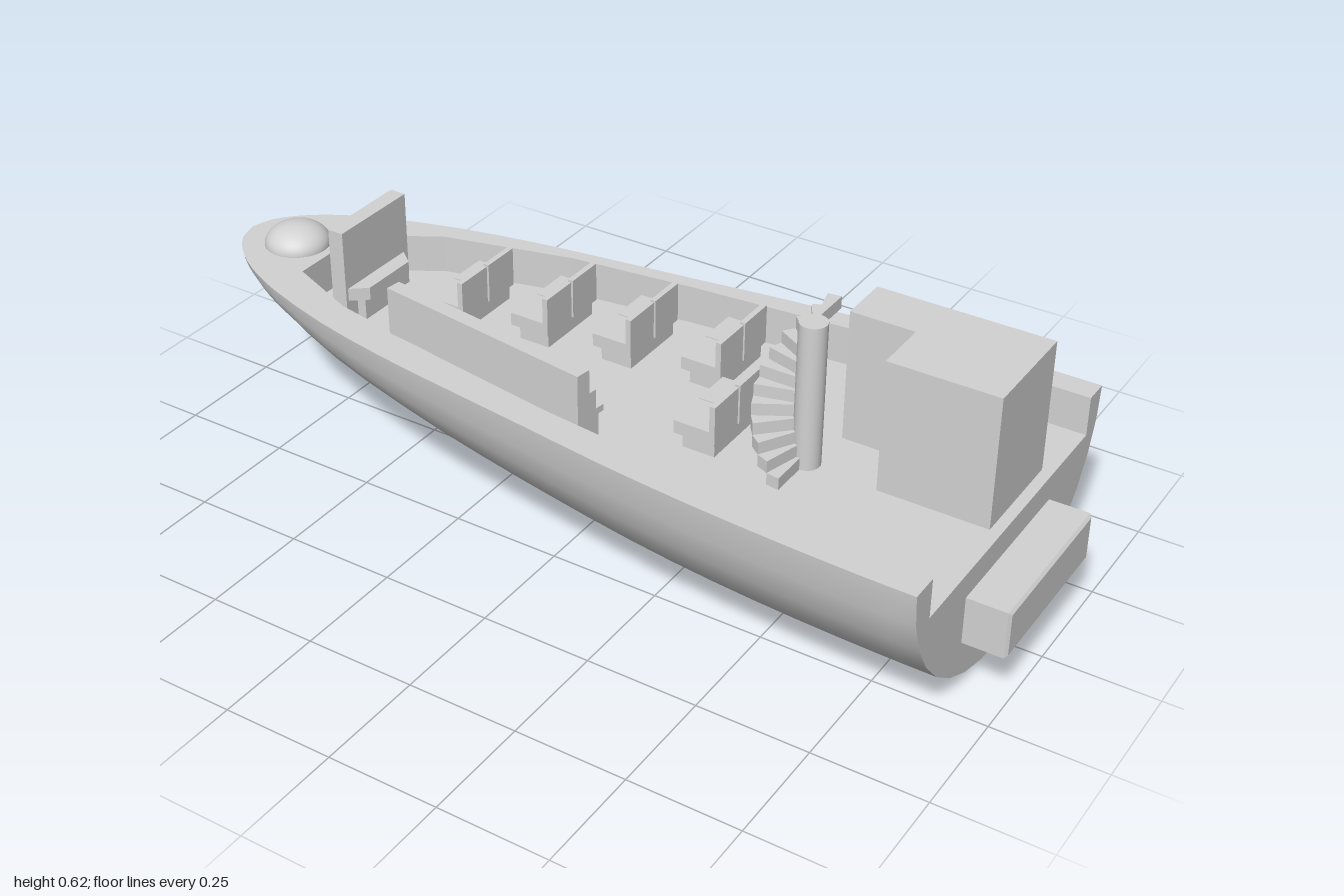
import * as THREE from 'three';

const RIM = 0.38, FLOOR = 0.29, SEG = 16, STERN = 0.905;

// Hull stations along a smooth curve: x, half-width at the rim, keel height
const STATIONS = new THREE.CatmullRomCurve3([
  [-1, 0, 0.38], [-0.985, 0.05, 0.37], [-0.95, 0.093, 0.348], [-0.9, 0.133, 0.317], [-0.84, 0.167, 0.282],
  [-0.77, 0.197, 0.248], [-0.6, 0.25, 0.182], [-0.4, 0.291, 0.125], [-0.2, 0.32, 0.082], [0, 0.347, 0.05],
  [0.2, 0.375, 0.027], [0.4, 0.396, 0.012], [0.6, 0.41, 0.004], [0.78, 0.418, 0.001], [STERN, 0.42, 0],
].map((p) => new THREE.Vector3(...p))).getPoints(28).map((p) => p.toArray());

// Inner edge of the rim (x, z), from stern on one side round the bow to stern on the other
const INNER = [
  [STERN, 0.355], [0.78, 0.355], [0.4, 0.32], [0, 0.275], [-0.3, 0.228], [-0.6, 0.17], [-0.77, 0.1],
  [-0.77, -0.1], [-0.6, -0.2], [-0.3, -0.275], [0, -0.31], [0.4, -0.343], [0.78, -0.363], [STERN, -0.363],
];

const shapeOf = (pts) => new THREE.Shape(pts.map(([a, b]) => new THREE.Vector2(a, b)));

// Surface between equal-length rows of points
function loft(rows) {
  const n = rows[0].length, index = [];
  for (let i = 0; i < rows.length - 1; i++) {
    for (let j = 0; j < n - 1; j++) {
      const a = i * n + j, b = a + n;
      index.push(a, a + 1, b, b, a + 1, b + 1);
    }
  }
  const g = new THREE.BufferGeometry();
  g.setAttribute('position', new THREE.Float32BufferAttribute(rows.flat(2), 3));
  g.setIndex(index);
  g.computeVertexNormals();
  return g;
}

// Horizontal plate from (x, z) points
const plate = (pts, y) =>
  new THREE.ShapeGeometry(shapeOf(pts.map(([x, z]) => [x, -z]))).rotateX(-Math.PI / 2).translate(0, y, 0);

// Solid from an (x, z) outline between two heights
const prism = (pts, y0, y1) =>
  new THREE.ExtrudeGeometry(shapeOf(pts.map(([x, z]) => [x, -z])), { depth: y1 - y0, bevelEnabled: false })
    .rotateX(-Math.PI / 2).translate(0, y0, 0);

const box = (x0, x1, y0, y1, z0, z1) =>
  new THREE.BoxGeometry(x1 - x0, y1 - y0, z1 - z0).translate((x0 + x1) / 2, (y0 + y1) / 2, (z0 + z1) / 2);

export function createModel() {
  const model = new THREE.Group();
  model.name = 'boat';
  const grey = new THREE.MeshStandardMaterial({ color: 0xd2d2d2, side: THREE.DoubleSide });
  grey.name = 'lightGrey';

  const add = (name, geo, parent = model) => {
    const mesh = new THREE.Mesh(geo, grey);
    mesh.name = name;
    parent.add(mesh);
    return mesh;
  };
  const group = (name) => {
    const g = new THREE.Group();
    g.name = name;
    model.add(g);
    return g;
  };

  // Smooth hull skin from half-elliptical sections
  const section = ([x, w, keel]) => Array.from({ length: SEG + 1 }, (_, j) => {
    const t = (j / SEG) * Math.PI;
    return [x, RIM - (RIM - keel) * Math.sin(t), w * Math.cos(t)];
  });
  add('hull', loft(STATIONS.map(section)));

  // Rim, cockpit wall (one hard-edged panel per span) and floor
  const starboard = STATIONS.map(([x, w]) => [x, -w]);
  const port = STATIONS.slice(1).map(([x, w]) => [x, w]).reverse();
  add('rim', plate([...port, ...starboard, ...[...INNER].reverse()], RIM));
  const cockpitWall = group('cockpitWall');
  for (let i = 0; i < INNER.length - 1; i++) {
    const span = INNER.slice(i, i + 2);
    add('wallPanel', loft([FLOOR, RIM].map((y) => span.map(([x, z]) => [x, y, z]))), cockpitWall);
  }
  add('cockpitFloor', plate(INNER, FLOOR));

  // Transom, cut down to the floor between the side walls (drawn as -z, y)
  const stern = section(STATIONS[STATIONS.length - 1]).map(([, y, z]) => [-z, y]);
  add('transom', new THREE.ShapeGeometry(shapeOf([
    ...stern, [0.363, RIM], [0.363, FLOOR], [-0.355, FLOOR], [-0.355, RIM],
  ])).rotateY(Math.PI / 2).translate(STERN, 0, 0));

  // Stern box with bevelled edges
  add('sternBox', new THREE.ExtrudeGeometry(shapeOf([
    [-0.186, 0.129], [0.186, 0.129], [0.186, 0.225], [-0.186, 0.225],
  ]), { depth: 0.1, bevelSize: 0.006, bevelThickness: 0.006, bevelSegments: 1 })
    .rotateY(Math.PI / 2).translate(0.893, 0, 0));

  // Bow dome
  add('bowDome', new THREE.SphereGeometry(0.075, 32, 12, 0, Math.PI * 2, 0, Math.PI / 2)
    .scale(1, 0.65, 1).translate(-0.865, RIM, 0));

  // Bow seat facing the stern
  const bowSeat = group('bowSeat');
  add('bowSeatBack', box(-0.68, -0.642, FLOOR, 0.515, -0.115, 0.107), bowSeat);
  add('bowSeatCushion', prism([[-0.642, -0.1], [-0.605, -0.07], [-0.605, 0.07], [-0.642, 0.1]], 0.345, 0.375), bowSeat);
  add('bowSeatBase', box(-0.642, -0.62, FLOOR, 0.345, -0.07, 0.07), bowSeat);

  // Long side bench: stepped profile (depth, height) swept along the wall
  const benchProfile = [
    [0, FLOOR], [0.05, FLOOR], [0.05, 0.315], [0.062, 0.315], [0.062, 0.375], [0.077, 0.375],
    [0.077, 0.39], [0.055, 0.39], [0.055, 0.435], [0.035, 0.435], [0.035, 0.49], [0, 0.49],
  ];
  const bench = add('sideBench', new THREE.ExtrudeGeometry(shapeOf(benchProfile), { depth: 0.535, bevelEnabled: false })
    .rotateY(Math.PI / 2));
  bench.rotation.y = -0.141;
  bench.position.set(-0.445, 0, 0.205);

  // Double passenger seats facing the bow: front x, rear z
  for (const [x, z] of [[-0.497, -0.19], [-0.303, -0.233], [-0.106, -0.257], [0.102, -0.28], [0.217, -0.063]]) {
    const seat = group('doubleSeat');
    seat.position.set(x, 0, z);
    add('seatBase', box(0.015, 0.09, FLOOR, 0.325, 0.012, 0.183), seat);
    for (const z0 of [0, 0.099]) {
      add('seatCushion', box(0, 0.088, 0.325, 0.355, z0, z0 + 0.096), seat);
      add('seatBack', box(0.084, 0.097, 0.325, 0.417, z0 + 0.005, z0 + 0.097), seat);
    }
  }

  // Spiral stair: pole and wedge treads climbing round the bow side
  const stair = group('spiralStair');
  stair.position.set(0.472, 0, 0.035);
  add('stairPole', new THREE.CylinderGeometry(0.03, 0.03, 0.33, 24).translate(0, 0.455, 0), stair);
  const STEPS = 12, RISE = 0.33 / STEPS, R = 0.115;
  for (let i = 0; i < STEPS; i++) {
    const a = (i / STEPS) * Math.PI, b = a + Math.PI / STEPS;
    const wedge = [[0, 0], [-R * Math.sin(a), R * Math.cos(a)], [-R * Math.sin(b), R * Math.cos(b)]];
    add('stairTread', prism(wedge, FLOOR + i * RISE, FLOOR + (i + 1) * RISE), stair);
  }

  // L-shaped cabin with a recess beside the stair
  add('cabin', prism([
    [0.49, -0.2], [0.88, -0.2], [0.88, 0.045], [0.635, 0.045], [0.635, -0.083], [0.49, -0.083],
  ], FLOOR, 0.59));

  return model;
}
